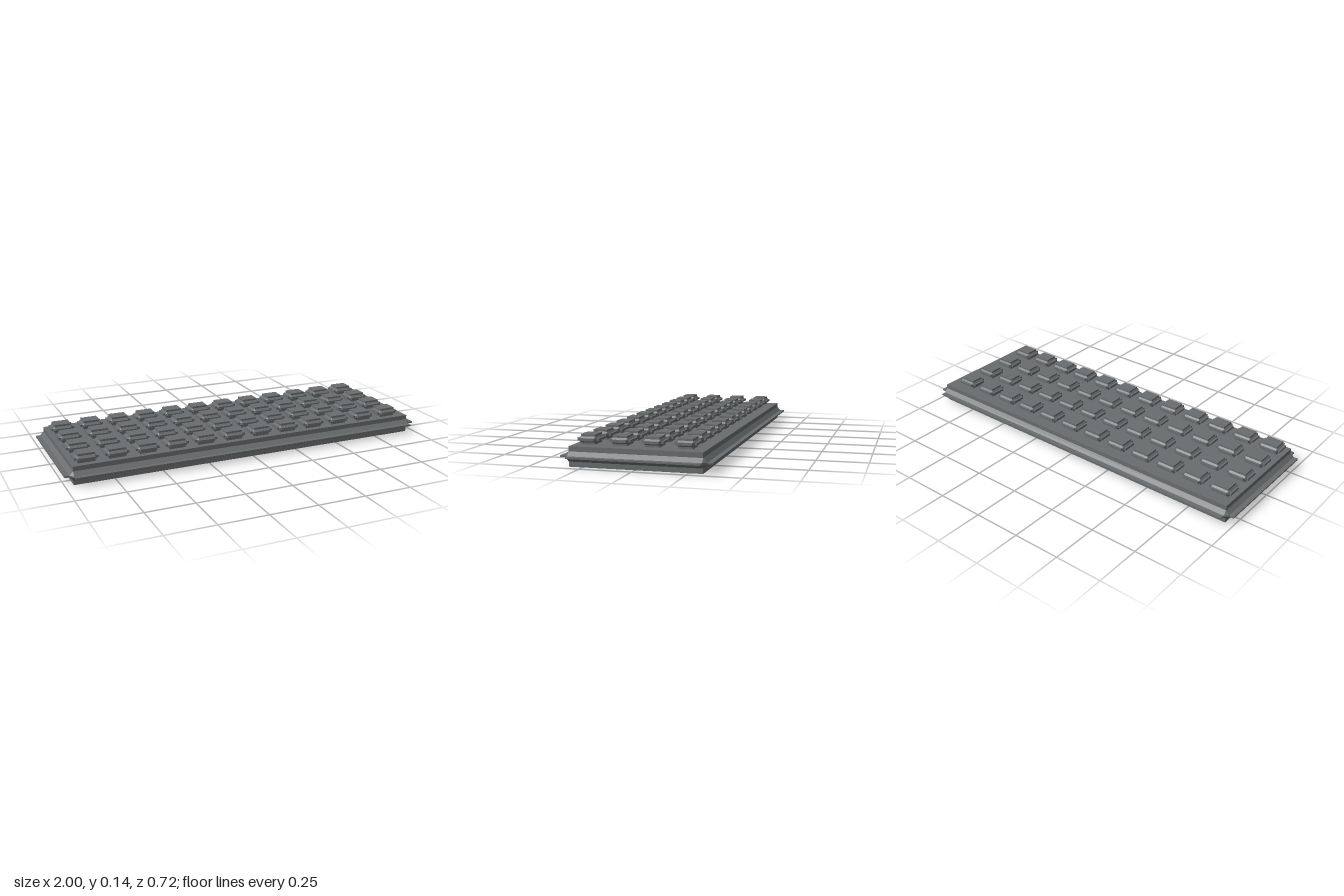
import * as THREE from 'three';
import { mergeGeometries } from 'three/addons/utils/BufferGeometryUtils.js';
import { ConvexGeometry } from 'three/addons/geometries/ConvexGeometry.js';

// Block with stepped, inward-cut edges: a box slab per axis around a chamfered core.
// hx, hy, hz are half sizes, cut is the depth of the edge step.
function steppedBlock(hx, hy, hz, cut) {
  const inner = [hx - cut, hy - cut, hz - cut];
  const outer = [hx, hy, hz];
  const parts = [];
  const corners = [];
  for (let axis = 0; axis < 3; axis++) {
    const slab = inner.map((v, i) => (i === axis ? outer[i] : v));
    parts.push(new THREE.BoxGeometry(...slab.map((v) => v * 2)).toNonIndexed());
    // chamfer points reach a little beyond the inner box on each axis
    const reach = inner.map((v, i) => (i === axis ? v + 0.45 * cut : v));
    for (const sx of [-1, 1]) for (const sy of [-1, 1]) for (const sz of [-1, 1]) {
      corners.push(new THREE.Vector3(sx * reach[0], sy * reach[1], sz * reach[2]));
    }
  }
  parts.push(new ConvexGeometry(corners));
  for (const part of parts) part.deleteAttribute('uv');
  return mergeGeometries(parts);
}

export function createModel() {
  const model = new THREE.Group();
  model.name = 'keyboard';
  const grey = new THREE.MeshStandardMaterial({ color: 0x6a6d6f });
  grey.name = 'slate grey';
  grey.flatShading = true;

  // Base with stepped rim
  const base = new THREE.Mesh(steppedBlock(1, 0.0475, 0.36, 0.0435), grey);
  base.name = 'base';
  base.position.y = 0.0475;
  model.add(base);

  // Four rows of twelve keys
  const keys = new THREE.Group();
  keys.name = 'keys';
  const keyGeometry = steppedBlock(0.0615, 0.0238, 0.0525, 0.0178);
  for (let row = 0; row < 4; row++) {
    for (let col = 0; col < 12; col++) {
      const key = new THREE.Mesh(keyGeometry, grey);
      key.name = `key row ${row + 1} column ${col + 1}`;
      key.position.set(-0.88 + col * 0.1567, 0.118, -0.2175 + row * 0.156);
      keys.add(key);
    }
  }
  model.add(keys);
  return model;
}
